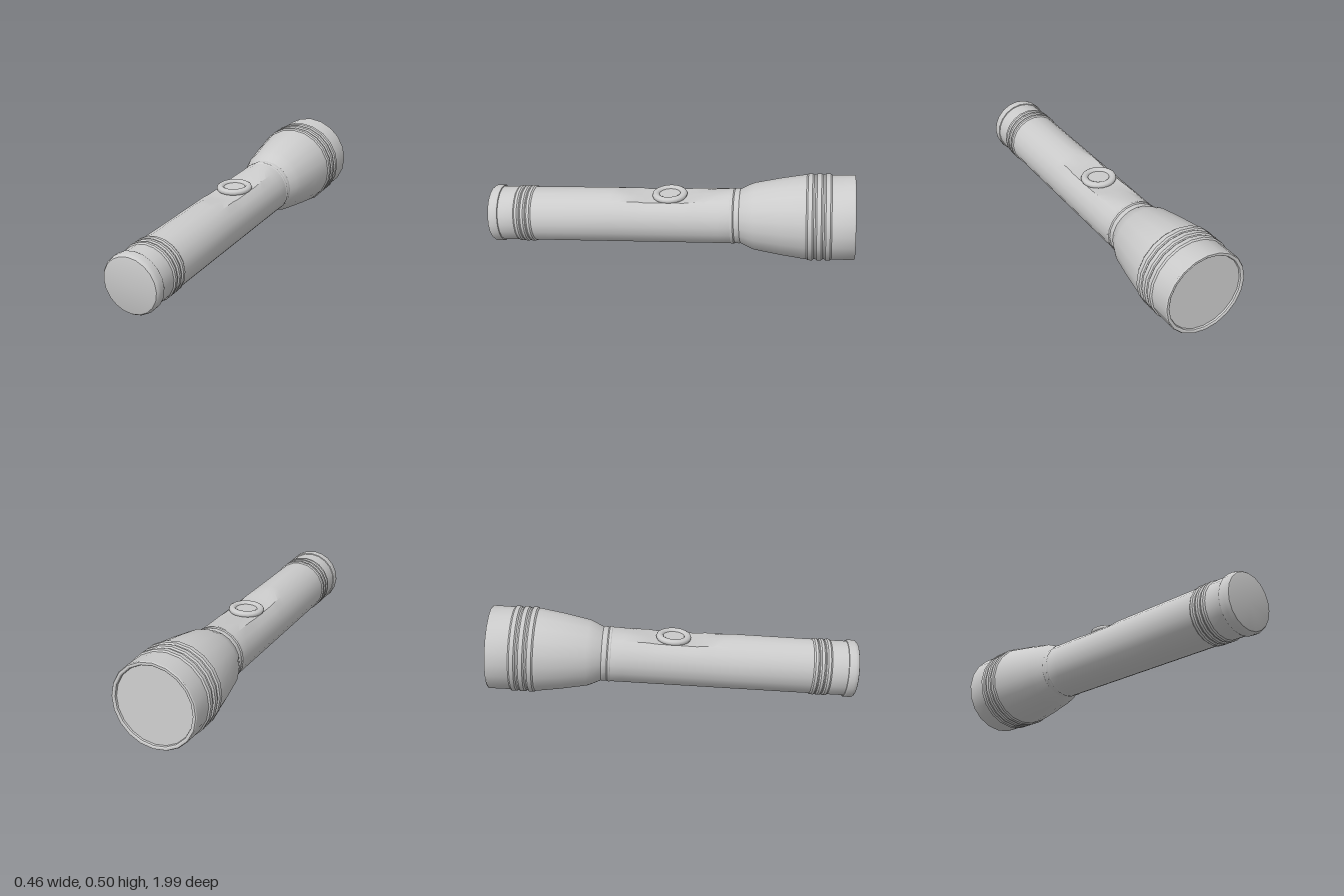
import * as THREE from 'three';
import { toCreasedNormals } from 'three/addons/utils/BufferGeometryUtils.js';

const SIDES = 20;
const material = new THREE.MeshStandardMaterial({ color: 0xcccccc });

// Profile points are [position along the barrel, radius], from lens (-z) to tail (+z)
function turned(name, profile, reshape) {
  const points = profile.map(([s, r]) => new THREE.Vector2(r, s));
  const geometry = new THREE.LatheGeometry(points, SIDES).rotateX(Math.PI / 2);
  if (reshape) reshape(geometry.attributes.position);
  const mesh = new THREE.Mesh(toCreasedNormals(geometry, 0.5), material);
  mesh.name = name;
  return mesh;
}

// A run of raised rings with narrow gaps between them
function ridges(start, count, pitch, low, high) {
  const points = [];
  for (let i = 0; i < count; i++) {
    const s = start + i * pitch;
    points.push([s, low], [s + 0.008, high], [s + pitch * 0.65, high], [s + pitch * 0.65 + 0.008, low]);
  }
  return points;
}

// Height of the flattened thumb rest along the top of the barrel
const REST = [[-0.34, 0.147], [-0.2, 0.131], [-0.09, 0.116], [0.12, 0.115], [0.21, 0.129], [0.31, 0.149]];
function restHeight(s) {
  for (let i = 1; i < REST.length; i++) {
    const [a, ya] = REST[i - 1], [b, yb] = REST[i];
    if (s >= a && s <= b) return THREE.MathUtils.mapLinear(s, a, b, ya, yb);
  }
  return Infinity;
}

export function createModel() {
  const model = new THREE.Group();
  model.name = 'flashlight';
  const body = new THREE.Group();
  body.name = 'tiltedBody';
  body.position.y = 0.22;
  body.rotation.x = 0.063;
  model.add(body);

  // Flared head with grip rings and a lip around the lens
  body.add(turned('head', [
    [-0.972, 0.203], [-0.982, 0.206], [-0.986, 0.212], [-0.986, 0.222], [-0.98, 0.226],
    ...ridges(-0.865, 3, 0.046, 0.225, 0.232),
    [-0.72, 0.225], [-0.6, 0.207], [-0.46, 0.181], [-0.43, 0.169], [-0.385, 0.147], [-0.375, 0.14],
  ]));

  // Recessed lens
  const lens = new THREE.Mesh(new THREE.CircleGeometry(0.204, SIDES), material);
  lens.name = 'lens';
  lens.rotation.y = Math.PI;
  lens.position.z = -0.973;
  body.add(lens);

  // Collar between head and barrel
  body.add(turned('collar', [[-0.39, 0.143], [-0.38, 0.149], [-0.362, 0.149], [-0.356, 0.146],
    [-0.35, 0.151], [-0.338, 0.151], [-0.33, 0.146]]));

  // Barrel with the thumb rest pressed into its top, and grip rings at the rear
  const barrelRows = [-0.34, -0.27, -0.2, -0.145, -0.09, 0, 0.12, 0.165, 0.21, 0.26, 0.31]
    .map((s) => [s, 0.149]);
  body.add(turned('barrel', [...barrelRows, ...ridges(0.745, 3, 0.034, 0.149, 0.155), [0.94, 0.149]],
    (position) => {
      for (let i = 0; i < position.count; i++) {
        position.setY(i, Math.min(position.getY(i), restHeight(position.getZ(i))));
      }
    }));

  // Rounded tail cap
  body.add(turned('tailCap', [[0.93, 0.146], [0.932, 0.154], [0.937, 0.157], [0.966, 0.157],
    [0.978, 0.154], [0.987, 0.147], [0.99, 0.138], [0.99, 0]]));

  // Switch: a soft ring around a flat button
  const power = new THREE.Group();
  power.name = 'switch';
  power.position.set(0, 0.126, -0.006);
  const ring = new THREE.Mesh(new THREE.TorusGeometry(0.075, 0.02, 10, 24).rotateX(Math.PI / 2), material);
  ring.name = 'switchRing';
  ring.scale.y = 0.85;
  const button = new THREE.Mesh(new THREE.CylinderGeometry(0.06, 0.06, 0.02, 24), material);
  button.name = 'switchButton';
  button.position.y = -0.006;
  power.add(ring, button);
  body.add(power);

  return model;
}
